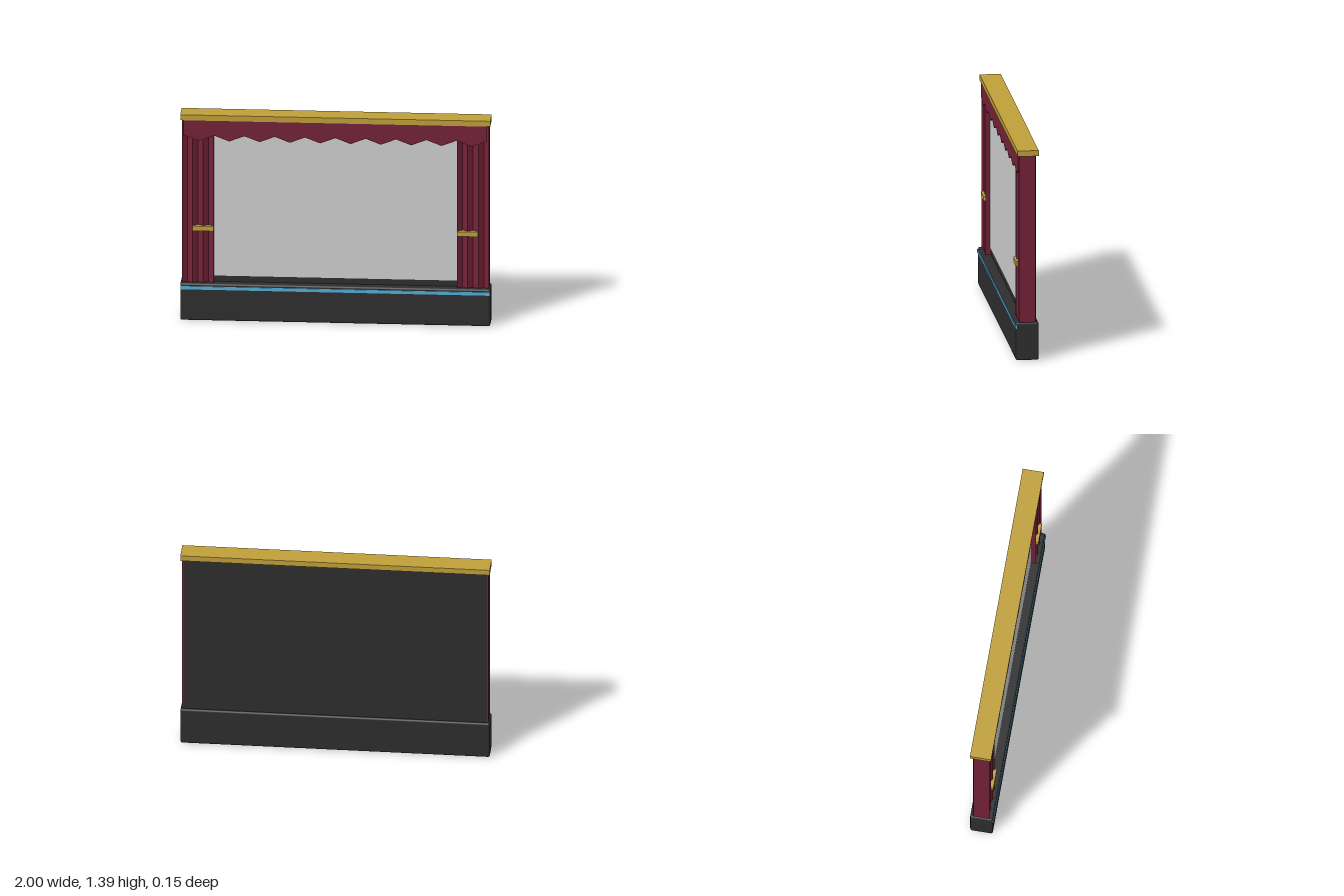
import * as THREE from 'three';
import { RoundedBoxGeometry } from 'three/addons/geometries/RoundedBoxGeometry.js';

function material(name, color) {
  const m = new THREE.MeshStandardMaterial({ color });
  m.name = name;
  return m;
}

export function createModel() {
  const model = new THREE.Group();
  model.name = 'puppetStage';
  const charcoal = material('charcoal', 0x2e2e2e);
  const burgundy = material('burgundy', 0x742238);
  const gold = material('gold', 0xc0a03a);
  const blue = material('light blue', 0x54aed6);
  const grey = material('screen grey', 0xd0d0d0);

  function add(name, geometry, mat, parent = model) {
    const mesh = new THREE.Mesh(geometry, mat);
    mesh.name = name;
    parent.add(mesh);
    return mesh;
  }
  // Box given by its lower and upper corners
  function box(name, mat, [x0, y0, z0], [x1, y1, z1], radius = 0, parent = model) {
    const size = [x1 - x0, y1 - y0, z1 - z0];
    const geo = radius ? new RoundedBoxGeometry(...size, 2, radius) : new THREE.BoxGeometry(...size);
    const mesh = add(name, geo, mat, parent);
    mesh.position.set((x0 + x1) / 2, (y0 + y1) / 2, (z0 + z1) / 2);
    return mesh;
  }

  // Plinth, trim light, rear body, screen and cornice
  box('base', charcoal, [-1, 0, -0.075], [1, 0.25, 0.073], 0.012);
  box('lightStrip', blue, [-0.998, 0.211, 0.066], [0.998, 0.233, 0.078]);
  box('backPanel', charcoal, [-0.98, 0.24, -0.06], [0.98, 1.356, 0.016]);
  box('screen', grey, [-0.8, 0.29, 0.014], [0.8, 1.31, 0.02]);
  box('cornice', gold, [-1, 1.355, -0.075], [1, 1.392, 0.063]);

  // Pleated side curtains with their tiebacks
  const inner = 0.785, outer = 0.99, folds = 6;
  for (const side of [1, -1]) {
    const group = new THREE.Group();
    group.name = side > 0 ? 'leftCurtain' : 'rightCurtain';
    const plan = new THREE.Shape();
    plan.moveTo(side * inner, 0.055);
    plan.lineTo(side * outer, 0.055);
    for (let i = 0; i <= folds; i++) {
      const x = outer - (outer - inner) * i / folds;
      plan.lineTo(side * x, i % 2 ? -0.028 : -0.05);
    }
    plan.closePath();
    const geo = new THREE.ExtrudeGeometry(plan, { depth: 1.11, bevelEnabled: false });
    geo.rotateX(-Math.PI / 2);
    geo.translate(0, 0.246, 0);
    add('curtain', geo, burgundy, group);
    const xs = [side * inner, side * 0.92].sort((a, b) => a - b);
    box('tieback', gold, [xs[0], 0.605, 0.03], [xs[1], 0.637, 0.064], 0, group);
    model.add(group);
  }

  // Valance with a zigzag hem
  const half = 0.978, points = 10;
  const hem = new THREE.Shape();
  hem.moveTo(half, 1.356);
  hem.lineTo(-half, 1.356);
  for (let i = 0; i <= points * 2; i++) {
    hem.lineTo(-half + half * i / points, i % 2 ? 1.215 : 1.253);
  }
  hem.closePath();
  const valance = new THREE.ExtrudeGeometry(hem, { depth: 0.009, bevelEnabled: false });
  add('valance', valance, burgundy).position.z = 0.047;

  return model;
}
